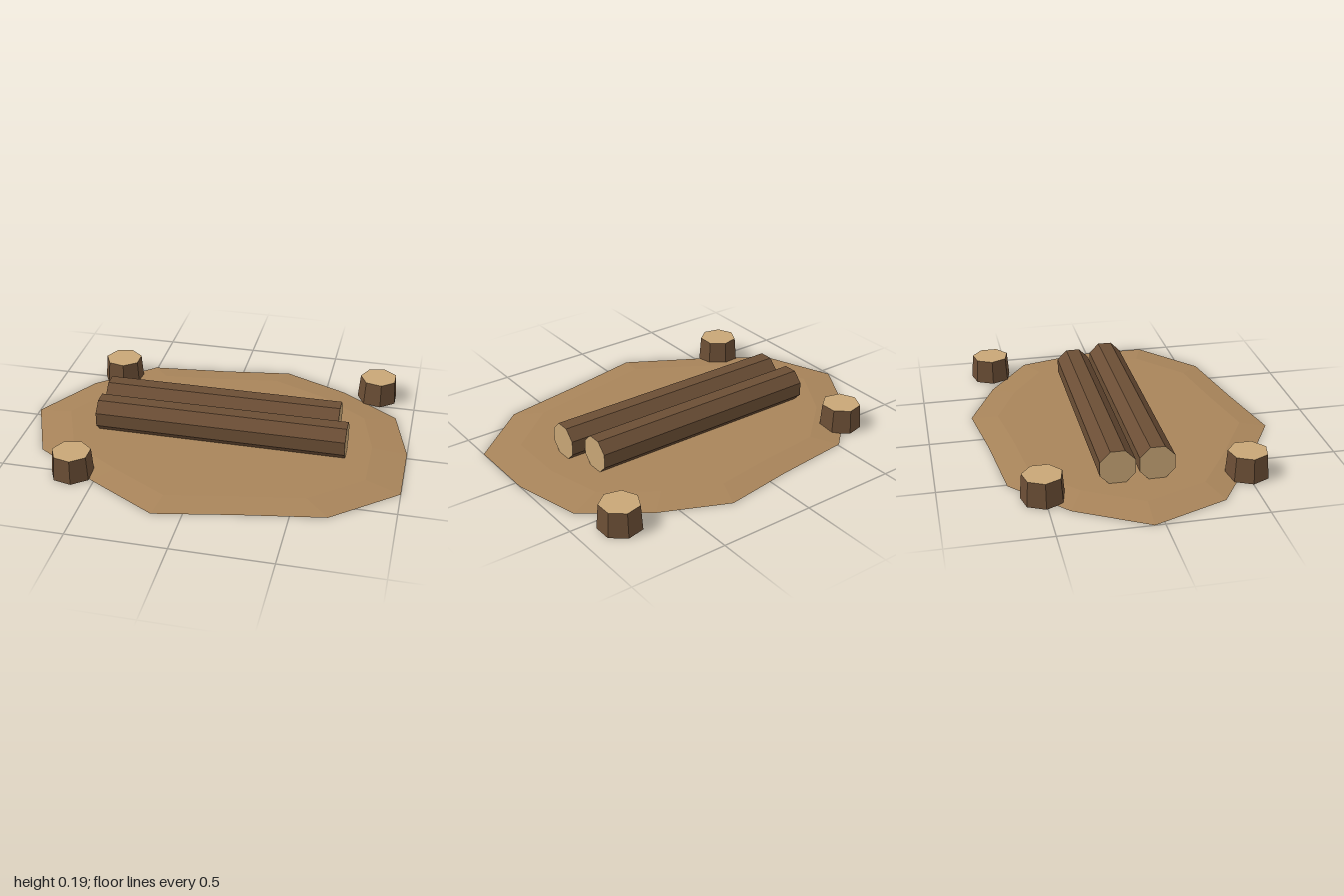
import * as THREE from 'three';

const paint = (color, side = THREE.FrontSide) =>
  new THREE.MeshStandardMaterial({ color, side, flatShading: true });

// Low dirt mound: an irregular rim on the floor, a raised inner ring and a flat middle, open below
function makeGround(material) {
  const rim = [
    [-1, -0.05], [-0.8, -0.4], [-0.51, -0.66], [-0.1, -0.705], [0.26, -0.76],
    [0.6, -0.61], [0.91, -0.39], [1, -0.04], [1, 0.33], [0.68, 0.6],
    [0.25, 0.675], [-0.15, 0.755], [-0.51, 0.55], [-0.85, 0.33],
  ];
  const n = rim.length;
  const positions = [];
  for (const [x, z] of rim) positions.push(x, 0, z);
  for (const [x, z] of rim) positions.push(x * 0.82, 0.02, z * 0.82);
  positions.push(0, 0.02, 0);
  const index = [];
  for (let i = 0; i < n; i++) {
    const j = (i + 1) % n;
    index.push(i, n + i, j, j, n + i, n + j); // slope
    index.push(n + i, 2 * n, n + j); // flat middle
  }
  const geometry = new THREE.BufferGeometry();
  geometry.setAttribute('position', new THREE.Float32BufferAttribute(positions, 3));
  geometry.setIndex(index);
  geometry.computeVertexNormals();
  const mesh = new THREE.Mesh(geometry, material);
  mesh.name = 'ground';
  return mesh;
}

export function createModel() {
  const group = new THREE.Group();
  group.name = 'logCamp';
  const bark = paint(0x6b4e35);
  const cutWood = paint(0xc8a676);
  const dirt = paint(0xa8845a, THREE.DoubleSide);

  group.add(makeGround(dirt));

  // Two octagonal logs lying side by side along x
  const logRadius = 0.0875 / Math.cos(Math.PI / 8);
  const logs = [
    ['frontLog', -0.615, 0.695, 0.054],
    ['backLog', -0.62, 0.635, -0.142],
  ];
  for (const [name, x0, x1, z] of logs) {
    const geometry = new THREE.CylinderGeometry(logRadius, logRadius, x1 - x0, 8, 1, false, Math.PI / 8);
    geometry.rotateZ(Math.PI / 2);
    const log = new THREE.Mesh(geometry, [bark, cutWood, cutWood]);
    log.name = name;
    log.position.set((x0 + x1) / 2, 0.101, z);
    group.add(log);
  }

  // Three seven-sided stump seats around the rim, slightly tapered
  const stumpGeometry = new THREE.CylinderGeometry(0.1, 0.11, 0.128, 7, 1, false, -Math.PI / 2);
  const stumps = [
    ['backRightStump', -0.655, -0.508],
    ['backLeftStump', 0.79, -0.597],
    ['frontRightStump', -0.627, 0.502],
  ];
  for (const [name, x, z] of stumps) {
    const stump = new THREE.Mesh(stumpGeometry, [bark, cutWood, bark]);
    stump.name = name;
    stump.position.set(x, 0.064, z);
    group.add(stump);
  }

  return group;
}
